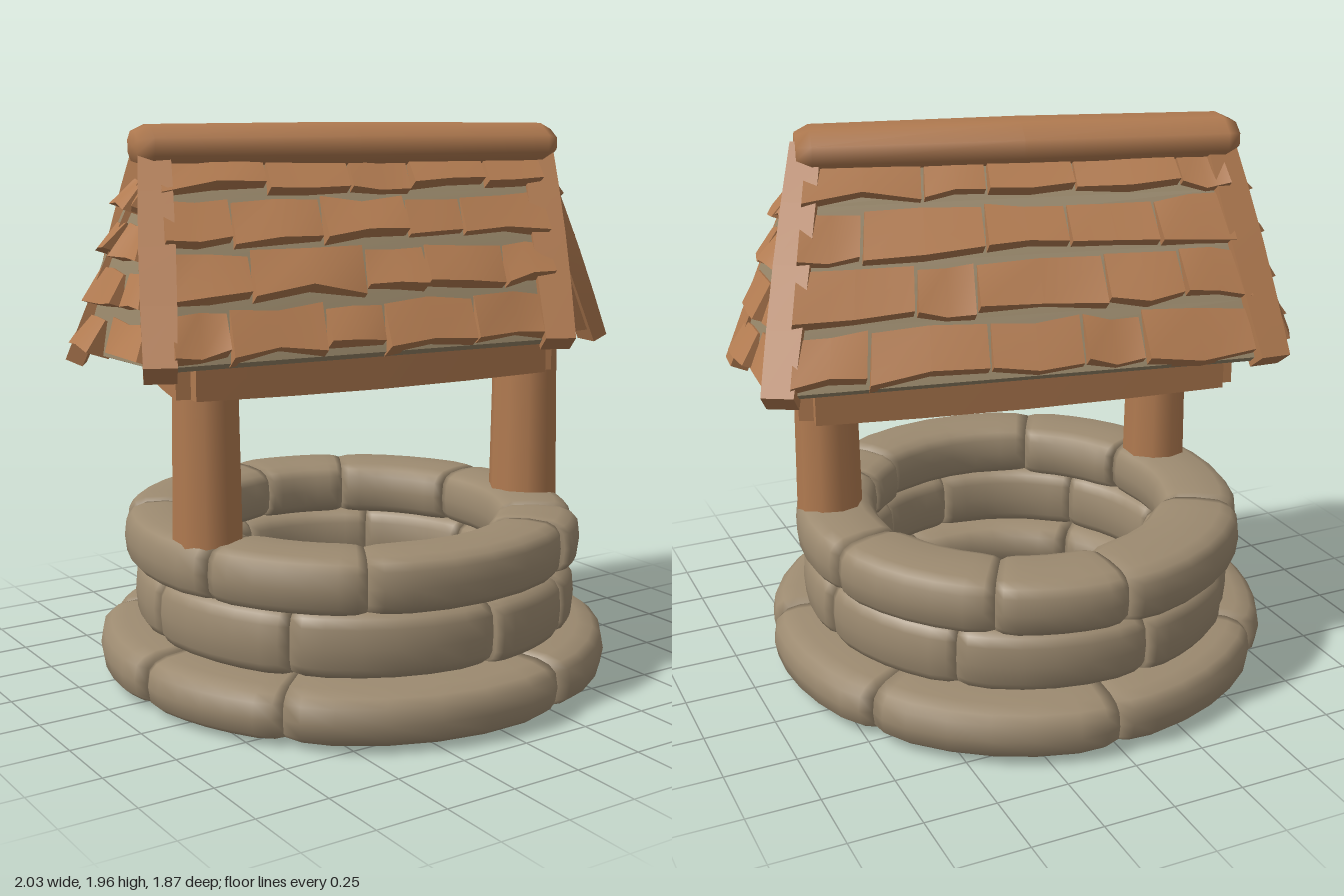
import * as THREE from 'three';

const V = (x, y, z) => new THREE.Vector3(x, y, z);
const wood = new THREE.MeshStandardMaterial({ color: 0xb07a50 });
wood.name = 'warm wood';
const stone = new THREE.MeshStandardMaterial({ color: 0x9c8a70 });
stone.name = 'grey stone';
const lining = new THREE.MeshStandardMaterial({ color: 0x968568, side: THREE.DoubleSide });
lining.name = 'roof lining';

let seed = 7;
function rand(a, b) {
  seed = (seed * 16807) % 2147483647;
  return a + (b - a) * (seed / 2147483647);
}

function add(parent, name, geometry, material) {
  const mesh = new THREE.Mesh(geometry, material);
  mesh.name = name;
  parent.add(mesh);
  return mesh;
}

// Box whose unit coordinates (0..1) are remapped by a rule
function mappedBox(rule, sx = 1, sy = 1, sz = 1) {
  const g = new THREE.BoxGeometry(1, 1, 1, sx, sy, sz);
  const p = g.attributes.position;
  for (let i = 0; i < p.count; i++) {
    const q = rule(p.getX(i) + 0.5, p.getY(i) + 0.5, p.getZ(i) + 0.5);
    p.setXYZ(i, q.x, q.y, q.z);
  }
  g.computeVertexNormals();
  return g;
}

// Straight timber from p to q, slightly thicker in the middle
function timber(parent, name, p, q, w, h) {
  const len = p.distanceTo(q);
  const g = mappedBox((i, j, k) => {
    const f = 0.88 + 0.12 * Math.sin(Math.PI * k);
    return V((i - 0.5) * w * f, (j - 0.5) * h * f, (k - 0.5) * len);
  }, 1, 1, 4);
  const m = add(parent, name, g, wood);
  m.position.copy(p).lerp(q, 0.5);
  m.lookAt(q);
  return m;
}

// Rounded stone block swept along an arc, pinched at both ends
function stoneBlock(a0, a1, rIn, rOut, y0, y1) {
  const N = 8, M = 16, pos = [], idx = [];
  const rc = (rIn + rOut) / 2, hw = (rOut - rIn) / 2, yc = (y0 + y1) / 2, hh = (y1 - y0) / 2;
  const power = (v) => Math.sign(v) * Math.pow(Math.abs(v), 0.6);
  const put = (a, r, y) => pos.push(0.97 * r * Math.sin(a), y, r * Math.cos(a));
  for (let i = 0; i <= N; i++) {
    const e = Math.min(i, N - i);
    const t = i === 0 ? 0 : i === N ? 1 : e === 1 ? (i === 1 ? 0.06 : 0.94) : (i - 1) / (N - 2);
    const f = e === 0 ? 0.84 : e === 1 ? 0.95 : 1;
    const a = a0 + (a1 - a0) * t;
    for (let j = 0; j < M; j++) {
      const b = (j / M) * Math.PI * 2;
      put(a, rc + hw * f * power(Math.cos(b)), yc + hh * (f * 0.5 + 0.5) * power(Math.sin(b)));
    }
  }
  put(a0, rc, yc);
  put(a1, rc, yc);
  const c0 = (N + 1) * M, c1 = c0 + 1;
  for (let j = 0; j < M; j++) {
    const k = (j + 1) % M;
    for (let i = 0; i < N; i++) {
      const u = i * M, v = u + M;
      idx.push(u + j, v + j, u + k, v + j, v + k, u + k);
    }
    idx.push(c0, j, k, c1, N * M + k, N * M + j);
  }
  const g = new THREE.BufferGeometry();
  g.setAttribute('position', new THREE.Float32BufferAttribute(pos, 3));
  g.setIndex(idx);
  g.computeVertexNormals();
  return g;
}

// Ring of stones; joints are angles in degrees from the front
function stoneRing(parent, name, joints, rIn, rOut, y0, y1) {
  const ring = new THREE.Group();
  ring.name = name;
  joints.forEach((a, i) => {
    const b = i + 1 < joints.length ? joints[i + 1] : joints[0] + 360;
    const d = Math.PI / 180;
    const g = stoneBlock(a * d, b * d, rIn + rand(-0.02, 0.02), rOut + rand(-0.012, 0.018), y0, y1 - rand(0, 0.008));
    add(ring, 'stone', g, stone);
  });
  ring.position.x = -0.02;
  parent.add(ring);
}

// Roof face: eave a-b, top c-d (left to right seen from outside), with bulging lining and shingle rows
function roofFace(parent, name, [a, b, c, d], rows, across, gap, cover) {
  const face = new THREE.Group();
  face.name = name;
  const along = b.clone().sub(a).add(d).sub(c);
  const up = c.clone().add(d).sub(a).sub(b);
  const n = along.cross(up).normalize();
  const at = (s, t, o) => a.clone().lerp(b, s).lerp(c.clone().lerp(d, s), t)
    .addScaledVector(n, o + 0.025 * Math.sin(Math.PI * Math.min(1, Math.max(0, t))));
  add(face, 'lining', mappedBox((i, j, k) => at(i, j, 0.036 * k - 0.012), 1, 8, 1), lining);
  for (let r = 0; r < rows; r++) {
    const cuts = [];
    for (let i = 0; i <= across; i++) {
      const edge = i === 0 || i === across;
      cuts.push(i / across + (edge ? rand(-0.012, 0.012) : (((r % 2) - 0.5) * 0.4 + rand(-0.28, 0.28)) / across));
    }
    for (let i = 0; i < across; i++) {
      const drop = [0, 1, 2].map(() => rand(-0.12, 0.06));
      const lift = [0, 1, 2].map(() => rand(0.05, 0.09));
      const top = [0, 1, 2].map(() => cover + rand(-0.1, 0.04));
      const rule = (x, y, z) => {
        const s = cuts[i] + gap + (cuts[i + 1] - cuts[i] - 2 * gap) * x;
        const m = Math.round(x * 2);
        const t = (r + 0.08 + drop[m] * (1 - y) + y * (top[m] - 0.08)) / rows;
        return at(s, t, z * (lift[m] * (1 - y) + 0.03 * y) + 0.002);
      };
      add(face, 'shingle', mappedBox(rule, 2, 1, 1), wood);
    }
  }
  parent.add(face);
}

export function createModel() {
  const well = new THREE.Group();
  well.name = 'well';

  // Stone wall
  stoneRing(well, 'baseRing', [-48, 17, 75, 122, 178, 230, 275], 0.52, 0.93, 0, 0.195);
  stoneRing(well, 'middleRing', [-49, 4, 34, 52, 98, 140, 190, 225, 268], 0.55, 0.81, 0.18, 0.42);
  stoneRing(well, 'topRing', [-30, 34, 52, 105, 150, 183, 238, 290], 0.53, 0.835, 0.40, 0.608);

  // Posts
  for (const [x, z] of [[-0.685, 0.14], [0.635, 0.18]]) {
    const post = add(well, 'post', new THREE.CylinderGeometry(0.105, 0.115, 0.7, 10, 3), wood);
    post.position.set(x, 0.9, z);
    post.scale.z = 1.25;
  }

  // Roof corner points
  const frontLeft = V(-0.93, 1.2, 0.33), frontRight = V(0.5, 1.2, 0.5);
  const backRight = V(0.92, 1.2, -0.33), backLeft = V(-0.64, 1.2, -0.62);
  const ridgeLeft = V(-0.7, 1.86, -0.17), ridgeRight = V(0.66, 1.86, 0.18);
  const tipRight = V(0.91, 1.18, 0.21), tipLeft = V(-0.91, 1.18, -0.32);

  const roof = new THREE.Group();
  roof.name = 'roof';
  well.add(roof);
  roofFace(roof, 'frontSlope', [frontLeft, frontRight, ridgeLeft, ridgeRight], 4, 5, 0.004, 0.9);
  roofFace(roof, 'backSlope', [backRight, backLeft, ridgeRight, ridgeLeft], 4, 5, 0.004, 0.9);

  // End hips: shingled side, plain plank side and a board on the fold between them
  const ends = [
    ['rightHip', tipRight, backRight, ridgeRight, V(0.57, 1.2, 0.34)],
    ['leftHip', tipLeft, frontLeft, ridgeLeft, V(-0.66, 1.2, -0.45)],
  ];
  for (const [name, tip, corner, top, inner] of ends) {
    const half = corner.clone().sub(tip).multiplyScalar(0.06);
    const apex = top.clone().add(V(0, -0.06, 0));
    roofFace(roof, name, [tip, corner, apex.clone().sub(half), apex.clone().add(half)], 4, 2, 0.06, 0.78);
    const out = V(Math.sign(tip.x) * 0.03, 0, Math.sign(inner.z) * 0.03);
    const plank = mappedBox((i, j, k) =>
      inner.clone().lerp(tip, i).lerp(apex.clone().addScaledVector(half, 0.5 - i), j).addScaledVector(out, k - 0.5));
    add(roof, 'hipPlank', plank, wood);
    timber(roof, 'hipBoard', apex, tip.clone().add(V(Math.sign(tip.x) * 0.03, -0.03, 0)), 0.12, 0.07);
  }

  // Corner boards running down from the ridge
  for (const [top, foot] of [
    [ridgeLeft, V(-0.95, 1.17, 0.35)], [ridgeLeft, V(-0.67, 1.18, -0.65)],
    [ridgeRight, V(0.48, 1.18, 0.55)], [ridgeRight, V(0.95, 1.17, -0.34)],
  ]) {
    const board = timber(roof, 'cornerBoard', top, foot, 0.12, 0.11);
    board.position.y += 0.02;
  }

  // Beams under the eaves
  const corners = [V(-0.8, 1.15, 0.26), V(0.5, 1.15, 0.42), V(0.82, 1.15, -0.27), V(-0.56, 1.15, -0.5)];
  corners.forEach((p, i) => timber(roof, 'eaveBeam', p, corners[(i + 1) % 4], 0.11, 0.14));

  // Ridge log, wide and low with a flat top and bevelled ends
  const start = V(-0.77, 0, -0.19), end = V(0.7, 0, 0.2);
  const length = start.distanceTo(end);
  const profile = [[0, 0], [0.1, 0], [0.145, 0.05], [0.155, length / 2], [0.145, length - 0.05], [0.1, length], [0, length]];
  const points = profile.map(([r, y]) => new THREE.Vector2(r, y - length / 2));
  const ridge = new THREE.LatheGeometry(points, 8, Math.PI / 8);
  ridge.rotateZ(-Math.PI / 2);
  ridge.scale(1, 0.54, 1);
  const log = add(roof, 'ridgeLog', ridge, wood);
  log.position.copy(start).lerp(end, 0.5).setY(1.88);
  log.rotation.y = -Math.atan2(end.z - start.z, end.x - start.x);

  return well;
}
